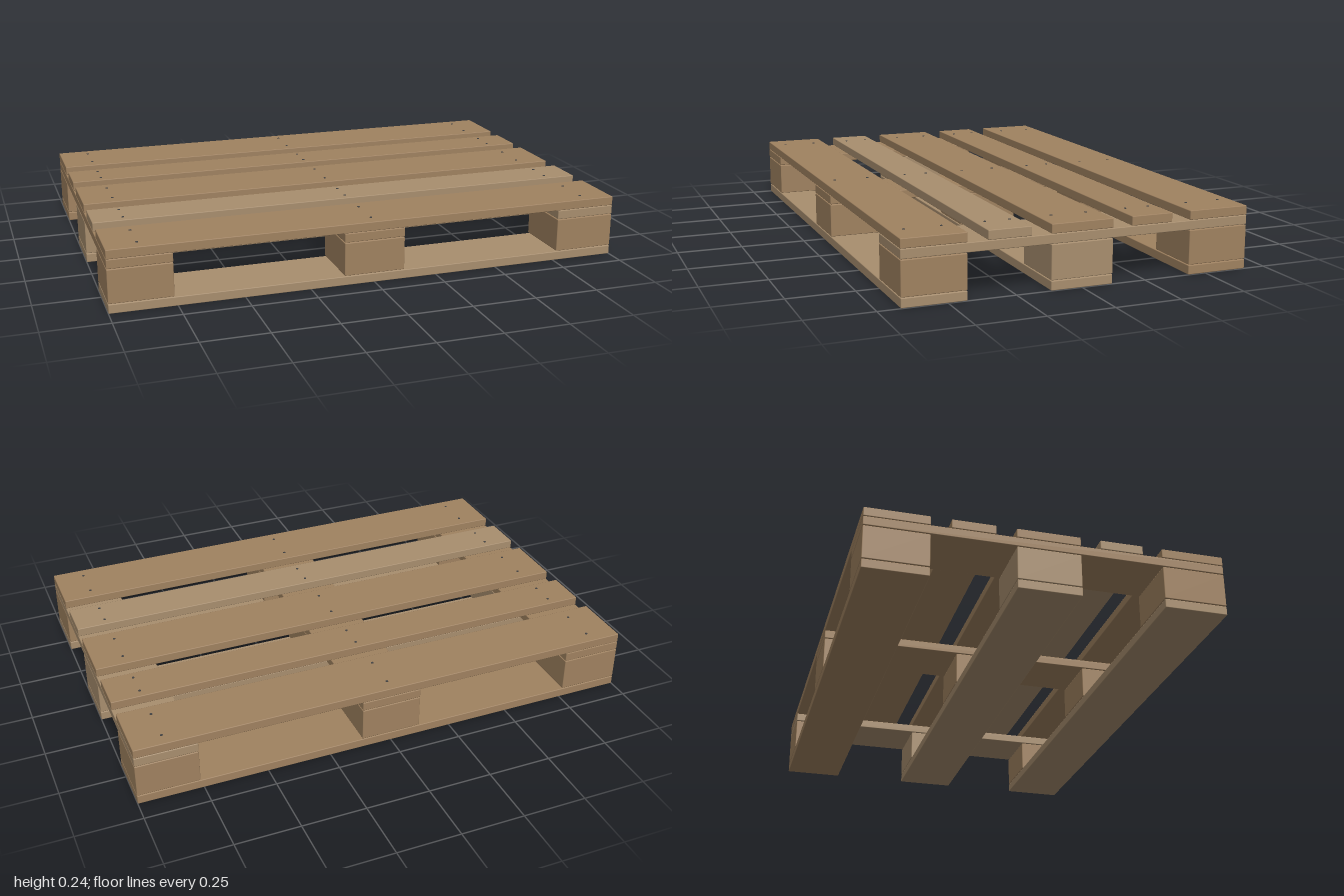
import * as THREE from 'three';
import { RoundedBoxGeometry } from 'three/addons/geometries/RoundedBoxGeometry.js';

const WIDE = 0.238, NARROW = 0.162, THICK = 0.035;
const LENGTH = 2, DEPTH = 1.334;
const COLUMNS = [-0.881, 0, 0.881]; // x of blocks and stringers
const ROWS = [-0.548, 0, 0.548];    // z of blocks and runners

const wood = new THREE.MeshStandardMaterial({ color: 0xa08260 });
const paleWood = new THREE.MeshStandardMaterial({ color: 0xa88e6e });
const steel = new THREE.MeshStandardMaterial({ color: 0x444444 });

export function createModel() {
  const pallet = new THREE.Group();
  pallet.name = 'pallet';

  // Sawn timber with slightly eased edges, placed by its underside
  function timber(name, [w, h, d], [x, y, z], material) {
    const mesh = new THREE.Mesh(new RoundedBoxGeometry(w, h, d, 1, 0.003), material);
    mesh.name = name;
    mesh.position.set(x, y + h / 2, z);
    pallet.add(mesh);
  }

  // Runners on the ground and the blocks standing on them
  ROWS.forEach((z, row) => {
    timber('bottomRunner', [LENGTH, THICK, WIDE], [0, 0.001, z], row === 0 ? wood : paleWood);
    COLUMNS.forEach((x, col) => {
      const pale = row === 1 && col !== 1;
      timber('block', [WIDE, 0.129, WIDE], [x, 0.038, z], pale ? paleWood : wood);
    });
  });

  // Stringers across the blocks
  COLUMNS.forEach((x, col) =>
    timber('stringer', [WIDE, THICK, DEPTH], [x, 0.169, 0], col === 2 ? paleWood : wood));

  // Deck boards: wide and narrow alternating, nailed in pairs over each stringer
  const nailGeometry = new THREE.CylinderGeometry(0.005, 0.005, 0.004, 10);
  [-0.548, -0.274, 0, 0.274, 0.548].forEach((z, i) => {
    const width = i % 2 ? NARROW : WIDE;
    timber('deckBoard', [LENGTH, THICK, width], [0, 0.205, z], i === 3 ? paleWood : wood);
    for (const x of COLUMNS) {
      for (const side of [-1, 1]) {
        const nail = new THREE.Mesh(nailGeometry, steel);
        nail.name = 'nailHead';
        nail.position.set(x, 0.24, z + side * width * 0.285);
        pallet.add(nail);
      }
    }
  });

  return pallet;
}
